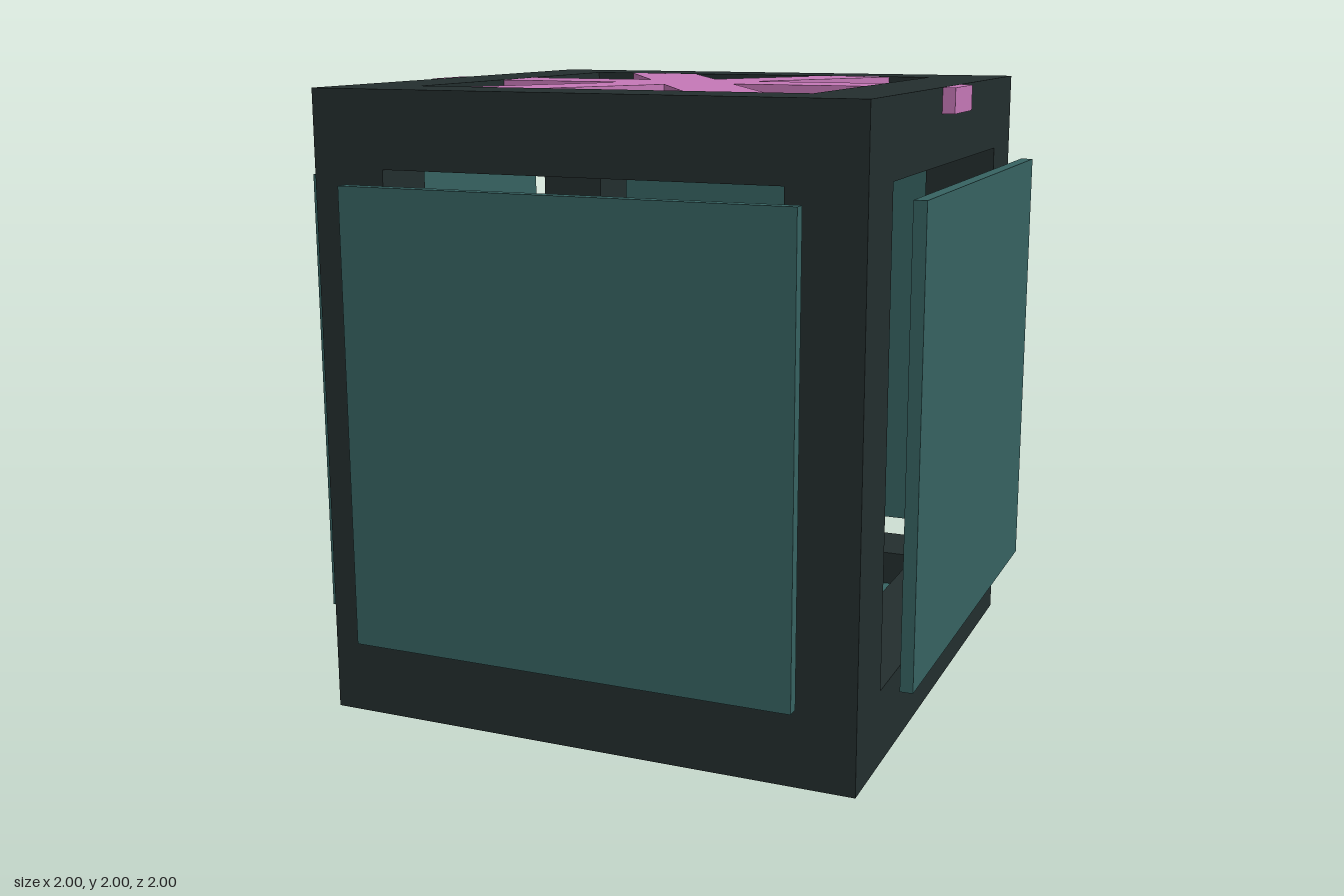
import * as THREE from 'three';

const mat = (name, color) => Object.assign(new THREE.MeshStandardMaterial({ color }), { name });

export function createModel() {
  const model = new THREE.Group();
  model.name = 'crate';
  const frameMat = mat('dark frame', 0x232e2e);
  const panelMat = mat('teal panel', 0x376362);
  const starMat = mat('pink star', 0xc678b8);

  const box = (name, parent, material, size, pos) => {
    const mesh = new THREE.Mesh(new THREE.BoxGeometry(...size), material);
    mesh.name = name;
    mesh.position.set(...pos);
    parent.add(mesh);
    return mesh;
  };

  // Open frame: four posts joined by eight rails
  const frame = new THREE.Group();
  frame.name = 'frame';
  model.add(frame);
  const T = 0.24, EDGE = 0.76, SPAN = 1.28;
  for (const a of [-1, 1]) {
    for (const b of [-1, 1]) {
      box('cornerPost', frame, frameMat, [T, 2, T], [a * EDGE, 1, b * EDGE]);
      const y = 1 + b * 0.88;
      box('crossRail', frame, frameMat, [SPAN, T, T], [0, y, a * EDGE]);
      box('sideRail', frame, frameMat, [T, T, SPAN], [a * EDGE, y, 0]);
    }
  }

  // Floating wall panels and recessed top and bottom panels
  const P = 1.44, THIN = 0.04;
  for (const s of [-1, 1]) {
    box('wallPanel', model, panelMat, [P, P, THIN], [0, 1, s * 0.98]);
    box('sidePanel', model, panelMat, [THIN, P, P], [s * 0.98, 1, 0]);
    box(s > 0 ? 'topPanel' : 'bottomPanel', model, panelMat, [P, THIN, P], [0, 1 + s * 0.9, 0]);
  }

  // Six-armed star of three crossing bars, a hair below the frame top
  const star = new THREE.Group();
  star.name = 'star';
  model.add(star);
  for (let i = 0; i < 3; i++) {
    const bar = box('starBar', star, starMat, [1.84, 0.08, 0.22], [0, 1.959, 0]);
    bar.rotation.y = (i * Math.PI) / 3;
  }
  return model;
}
